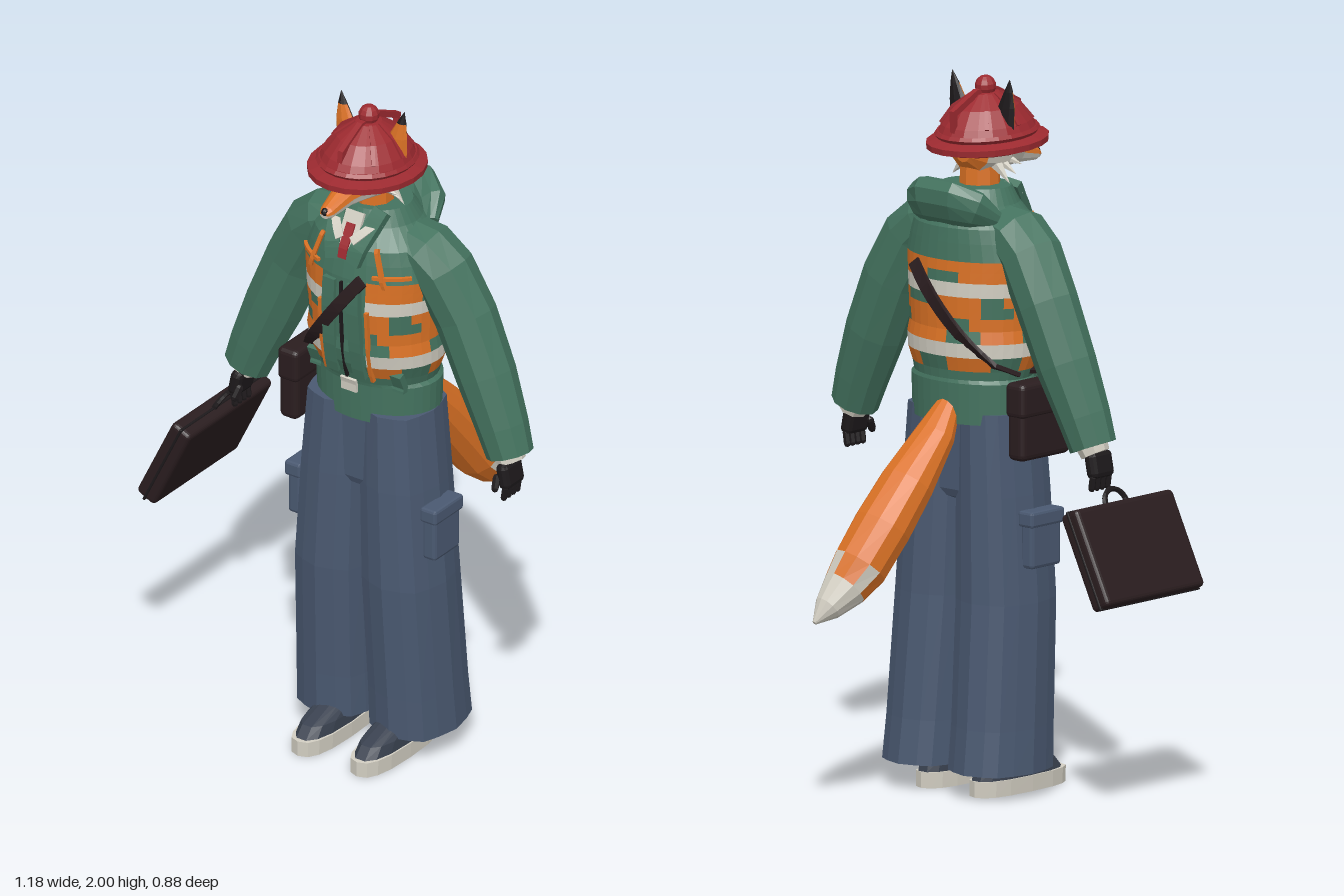
import * as THREE from 'three';
import { RoundedBoxGeometry } from 'three/addons/geometries/RoundedBoxGeometry.js';

const mat = (name, color) => Object.assign(new THREE.MeshStandardMaterial({ color }), { name });
const V = (x, y, z) => new THREE.Vector3(x, y, z);

export function createModel() {
  const green = mat('jacket green', 0x44735f), orange = mat('fur orange', 0xdb7225);
  const white = mat('off white', 0xd2cec2), blue = mat('trouser blue', 0x4a5971);
  const brown = mat('dark leather', 0x2a1d1f), red = mat('hat red', 0x9d2a30);
  const black = mat('black', 0x1d191b), slate = mat('shoe slate', 0x39414f);

  const model = new THREE.Group();
  const body = new THREE.Group();
  body.name = 'character';
  body.position.x = 0.083;
  model.add(body);

  // Adds a flat-faceted mesh
  function add(parent, name, geo, material, x = 0, y = 0, z = 0) {
    const g = geo.index ? geo.toNonIndexed() : geo;
    g.computeVertexNormals();
    const m = new THREE.Mesh(g, material);
    m.name = name;
    m.position.set(x, y, z);
    parent.add(m);
    return m;
  }

  // Capped loft through rings [x, y, z, a, b]; pick(row, angle) chooses the material of a facet.
  // 'level' keeps every ring horizontal, 'pow' below 1 squares the section off.
  function sweep(parent, name, rings, seg, mats, { pick = () => 0, ref = V(1, 0, 0), level = false, pow = 1, ripple = 0 } = {}) {
    const list = Array.isArray(mats) ? mats : [mats];
    const c = rings.map(r => V(r[0], r[1], r[2]));
    const phase = seg === 4 ? Math.PI / 4 : 0;
    const bend = v => Math.sign(v) * Math.abs(v) ** pow;
    const loops = rings.map((r, i) => {
      const T = level ? V(0, 1, 0)
        : c[Math.min(i + 1, c.length - 1)].clone().sub(c[Math.max(i - 1, 0)]).normalize();
      const U = ref.clone().addScaledVector(T, -T.dot(ref)).normalize();
      const W = T.clone().cross(U);
      return Array.from({ length: seg }, (_, j) => {
        const t = phase + j / seg * Math.PI * 2, k = 1 - ripple * (j % 2);
        return c[i].clone().addScaledVector(U, r[3] * k * bend(Math.cos(t))).addScaledVector(W, r[4] * k * bend(Math.sin(t)));
      });
    });
    const bins = list.map(() => []);
    const tri = (m, ...p) => p.forEach(v => bins[m].push(v.x, v.y, v.z));
    const last = rings.length - 1;
    for (let j = 0; j < seg; j++) {
      const n = (j + 1) % seg, t = phase + (j + 0.5) / seg * Math.PI * 2;
      for (let i = 0; i < last; i++) {
        const m = pick(i, t, j), d = loops[i + 1];
        tri(m, loops[i][j], loops[i][n], d[n]);
        tri(m, loops[i][j], d[n], d[j]);
      }
      tri(pick(0, t, j), c[0], loops[0][n], loops[0][j]);
      tri(pick(last - 1, t, j), c[last], loops[last][j], loops[last][n]);
    }
    const g = new THREE.BufferGeometry();
    g.setAttribute('position', new THREE.Float32BufferAttribute(bins.flat(), 3));
    let start = 0;
    bins.forEach((b, m) => { g.addGroup(start, b.length / 3, m); start += b.length / 3; });
    return add(parent, name, g, list.length > 1 ? list : list[0]);
  }

  // Jacket profile: [y, half width, centre z, half depth]
  const profile = [[1.05, .188, .172, .137], [1.165, .192, .172, .14], [1.175, .182, .175, .14], [1.22, .195, .18, .15],
    [1.3, .2, .185, .16], [1.42, .206, .187, .166], [1.52, .214, .187, .162], [1.6, .185, .182, .15], [1.655, .13, .18, .118],
    [1.7, .105, .185, .09]];
  function at(y) {
    let i = 0;
    while (i < profile.length - 2 && profile[i + 1][0] < y) i++;
    const p = profile[i], q = profile[i + 1], t = (y - p[0]) / (q[0] - p[0]);
    return p.map((v, k) => v + (q[k] - v) * t);
  }
  function onJacket(x, y, off, side = 1) {
    const [, rx, zc, rz] = at(y);
    return [x, y, zc + side * (rz * Math.sqrt(Math.max(0, 1 - (x / rx) ** 2)) + off)];
  }
  // Thin band lying on the jacket between two points
  function band(name, material, x0, y0, x1, y1, w, th = .006, side = 1, off = .004, ref = V(1, 0, 0)) {
    const rings = Array.from({ length: 11 }, (_, i) => {
      const t = i / 10;
      return [...onJacket(x0 + (x1 - x0) * t, y0 + (y1 - y0) * t, off, side), w * 1.41, th * 1.41];
    });
    sweep(body, name, rings, 4, material, { ref });
  }

  // Jacket with camouflage panels and reflective stripes
  const rows = [1.05, 1.165, 1.175, 1.2, 1.24, 1.28, 1.315, 1.35, 1.38, 1.41, 1.45, 1.48, 1.51, 1.56, 1.6, 1.655, 1.7];
  sweep(body, 'jacket', rows.map(y => {
    const [, rx, zc, rz] = at(y), k = y === 1.24 || y === 1.28 ? .008 : 0;
    return [0, y, zc, rx + k, rz + k];
  }), 36, [green, orange, white], {
    level: true,
    pick: (i, t, j) => {
      if (i < 3 || i > 11 || (Math.sin(t) < 0 && Math.abs(Math.cos(t)) < .37)) return 0;
      if (i === 4 || i === 9) return 2;
      return Math.sin(j * 1.05 + i * 1.7) + Math.sin(j * .7 - i * 1.1) > .75 ? 0 : 1;
    }
  });
  for (const s of [-1, 1]) {
    band('orangePiping', orange, s * .078, 1.19, s * .078, 1.42, .005);
    band('shoulderPiping', orange, s * .09, 1.61, s * .125, 1.5, .006);
    band('chestPiping', orange, s * .09, 1.53, s * .18, 1.53, .005, .005, 1, .003, V(0, 1, 0));
    band('frontPleat', green, s * .045, 1.2, s * .04, 1.5, .02, .009);
    band('hemTab', green, s * .14, 1.16, s * .14, 1.22, .018, .01);
    band('lapel', green, s * .03, 1.56, s * .07, 1.7, .024, .012);
    band('shirtCollar', white, s * .02, 1.62, s * .075, 1.675, .013, .006, 1, .012);
  }
  band('shirtFront', white, 0, 1.59, 0, 1.69, .03, .005);
  band('tie', red, 0, 1.57, 0, 1.66, .014, .007, 1, .008);
  band('zipper', black, 0, 1.19, 0, 1.5, .003);
  band('zipTag', white, 0, 1.14, 0, 1.18, .026, .004);
  band('bagStrapFront', brown, -.185, 1.19, .067, 1.52, .018, .006, 1, .012);
  band('bagStrapBack', brown, -.185, 1.19, .09, 1.49, .018, .006, -1, .008);
  sweep(body, 'hood', [[-.135, 1.62, .12, .03, .02], [-.1, 1.65, .075, .06, .04], [-.05, 1.665, .05, .075, .045],
    [.05, 1.665, .05, .075, .045], [.1, 1.65, .075, .06, .04], [.135, 1.62, .12, .03, .02]], 10, green, { ref: V(0, .9, -.42) });

  for (const s of [-1, 1]) {
    // Sleeves, trouser legs, pockets and shoes
    sweep(body, 'sleeve', [[s * .1, 1.6, .18, .06, .08], [s * .16, 1.575, .178, .085, .09], [s * .215, 1.525, .172, .093, .088],
      [s * .285, 1.4, .163, .093, .084], [s * .355, 1.24, .165, .09, .08], [s * .415, 1.1, .172, .078, .07],
      [s * .445, 1.02, .176, .07, .062]], 10, green, { ref: V(s, .5, 0) });
    sweep(body, 'cuff', [[s * .44, 1.025, .176, .045, .045], [s * .452, 1.0, .178, .04, .042]], 8, white, { ref: V(s, .5, 0) });
    sweep(body, 'trouserLeg', [[s * .123, .075, .15, .122, .15], [s * .121, .2, .16, .12, .145], [s * .113, .55, .183, .12, .14],
      [s * .1, .85, .186, .112, .133], [s * .09, 1.08, .185, .103, .125]], 16, blue, { level: true, pow: .8, ripple: .05 });
    add(body, 'cargoPocket', new RoundedBoxGeometry(.045, .15, .12, 1, .01), blue, s * .228, .725, .2);
    add(body, 'pocketFlap', new RoundedBoxGeometry(.055, .045, .135, 1, .008), blue, s * .23, .79, .2);
    sweep(body, 'shoeSole', [[s * .1, 0, .245, .057, .176], [s * .1, .045, .245, .058, .176]], 16, white, { level: true, pow: .75 });
    sweep(body, 'shoeUpper', [[s * .1, .045, .24, .054, .168], [s * .1, .075, .23, .052, .15], [s * .1, .105, .19, .045, .1],
      [s * .1, .16, .16, .04, .07]], 14, slate, { level: true, pow: .8 });

    // Gloved hand
    const hand = new THREE.Group();
    hand.name = s > 0 ? 'leftHand' : 'rightHand';
    hand.position.set(s * .455, .97, .19);
    hand.rotation.z = s * .2;
    body.add(hand);
    add(hand, 'palm', new RoundedBoxGeometry(.038, .075, .085, 1, .014), black);
    for (let f = 0; f < 4; f++) {
      const finger = add(hand, 'finger', new THREE.CapsuleGeometry(.01, .032, 2, 6), black, -s * .006, -.048, -.032 + f * .021);
      finger.rotation.z = -s * .35;
    }
    add(hand, 'thumb', new THREE.CapsuleGeometry(.011, .03, 2, 6), black, -s * .02, -.015, .045).rotation.x = -.5;

    // Ears, eyes and cheek tufts
    sweep(body, 'ear', [[s * .08, 1.85, .21, .038, .02], [s * .09, 1.92, .21, .03, .016], [s * .1, 1.965, .208, .015, .01],
      [s * .107, 2, .205, .001, .001]], 8, [orange, black], { level: true, pick: (i, t) => (i > 1 || Math.sin(t) > 0 ? 1 : 0) });
    add(body, 'eye', new THREE.SphereGeometry(.011, 8, 6), black, s * .05, 1.79, .308);
    for (let k = 0; k < 3; k++) {
      const tuft = add(body, 'cheekTuft', new THREE.ConeGeometry(.018, .07, 5), white, s * .083, 1.765 - k * .016, .245 - k * .02);
      tuft.rotation.z = -s * (1.75 + k * .3);
    }
  }
  add(body, 'trouserSeat', new RoundedBoxGeometry(.2, .25, .22, 1, .03), blue, 0, .95, .185);

  // Head and neck
  add(body, 'neck', new THREE.CylinderGeometry(.052, .062, .2, 10), orange, 0, 1.71, .2);
  sweep(body, 'head', [[0, 1.8, .13, .03, .035], [0, 1.8, .16, .075, .065], [0, 1.795, .24, .09, .072], [0, 1.785, .3, .068, .055],
    [0, 1.765, .345, .036, .034], [0, 1.748, .42, .023, .02], [0, 1.745, .436, .014, .012]], 12, [orange, white],
    { pick: (i, t) => (i > 0 && Math.sin(t) < -.2 ? 1 : 0) });
  add(body, 'nose', new THREE.SphereGeometry(.012, 8, 6), black, 0, 1.753, .43);

  // Domed hat with crest, ribs and knob
  const hat = new THREE.Group();
  hat.name = 'hat';
  hat.position.set(0, 1.8, .232);
  hat.rotation.x = -.05;
  body.add(hat);
  const dome = [[0, .01], [.125, -.005], [.157, .005], [.158, .022], [.128, .032], [.126, .05], [.117, .07], [.085, .115],
    [.035, .15], [0, .154]].map(p => new THREE.Vector2(...p));
  add(hat, 'hatDome', new THREE.LatheGeometry(dome, 20), red).scale.z = 1.17;
  const rim = add(hat, 'hatBand', new THREE.TorusGeometry(.126, .01, 5, 24).rotateX(Math.PI / 2), red, 0, .043, 0);
  rim.scale.z = 1.17;
  sweep(hat, 'hatCrest', [[0, .06, .13, .01, .01], [0, .098, .125, .012, .014], [0, .15, .04, .012, .012], [0, .156, -.04, .012, .012],
    [0, .115, -.135, .012, .014], [0, .06, -.135, .01, .01]], 4, red);
  for (let k = 0; k < 6; k++) {
    const a = (k % 3 - 1) * .75 + (k < 3 ? 0 : Math.PI), x = Math.cos(a), z = Math.sin(a) * 1.17;
    sweep(hat, 'hatRib', [[x * .118, .07, z * .118, .008, .006], [x * .086, .115, z * .086, .008, .006],
      [x * .035, .15, z * .035, .006, .005]], 4, red, { ref: V(-z, 0, x) });
  }
  add(hat, 'knobStem', new THREE.CylinderGeometry(.016, .024, .03, 8), red, 0, .155, 0);
  add(hat, 'knob', new THREE.SphereGeometry(.03, 10, 7), red, 0, .168, 0);

  // Bushy tail with a pale tip
  sweep(body, 'tail', [[-.013, 1.1, .06, .035, .03], [-.015, 1.02, 0, .062, .05], [-.012, .9, -.11, .08, .072],
    [-.002, .79, -.2, .085, .08], [.012, .69, -.275, .08, .08], [.024, .635, -.325, .066, .064], [.034, .585, -.385, .04, .04],
    [.042, .548, -.43, .006, .006]], 12, [orange, white], { pick: (i, t, j) => (i > 4 || (i === 4 && j % 3 === 0) ? 1 : 0) });

  // Shoulder bag at the hip
  add(body, 'shoulderBag', new RoundedBoxGeometry(.062, .22, .2, 2, .018), brown, -.23, 1.07, .19);
  add(body, 'bagFlap', new RoundedBoxGeometry(.07, .1, .208, 2, .016), brown, -.23, 1.13, .19);

  // Briefcase hanging from the right hand
  const briefcase = new THREE.Group();
  briefcase.name = 'briefcase';
  briefcase.position.set(-.502, .745, .185);
  briefcase.rotation.z = -.455;
  model.add(briefcase);
  add(briefcase, 'caseShell', new RoundedBoxGeometry(.068, .285, .4, 2, .014), brown);
  add(briefcase, 'caseSeam', new RoundedBoxGeometry(.008, .291, .406, 1, .003), black);
  add(briefcase, 'caseHandle', new THREE.TorusGeometry(.042, .008, 6, 12, Math.PI).rotateY(Math.PI / 2), black, 0, .14, 0);
  return model;
}
